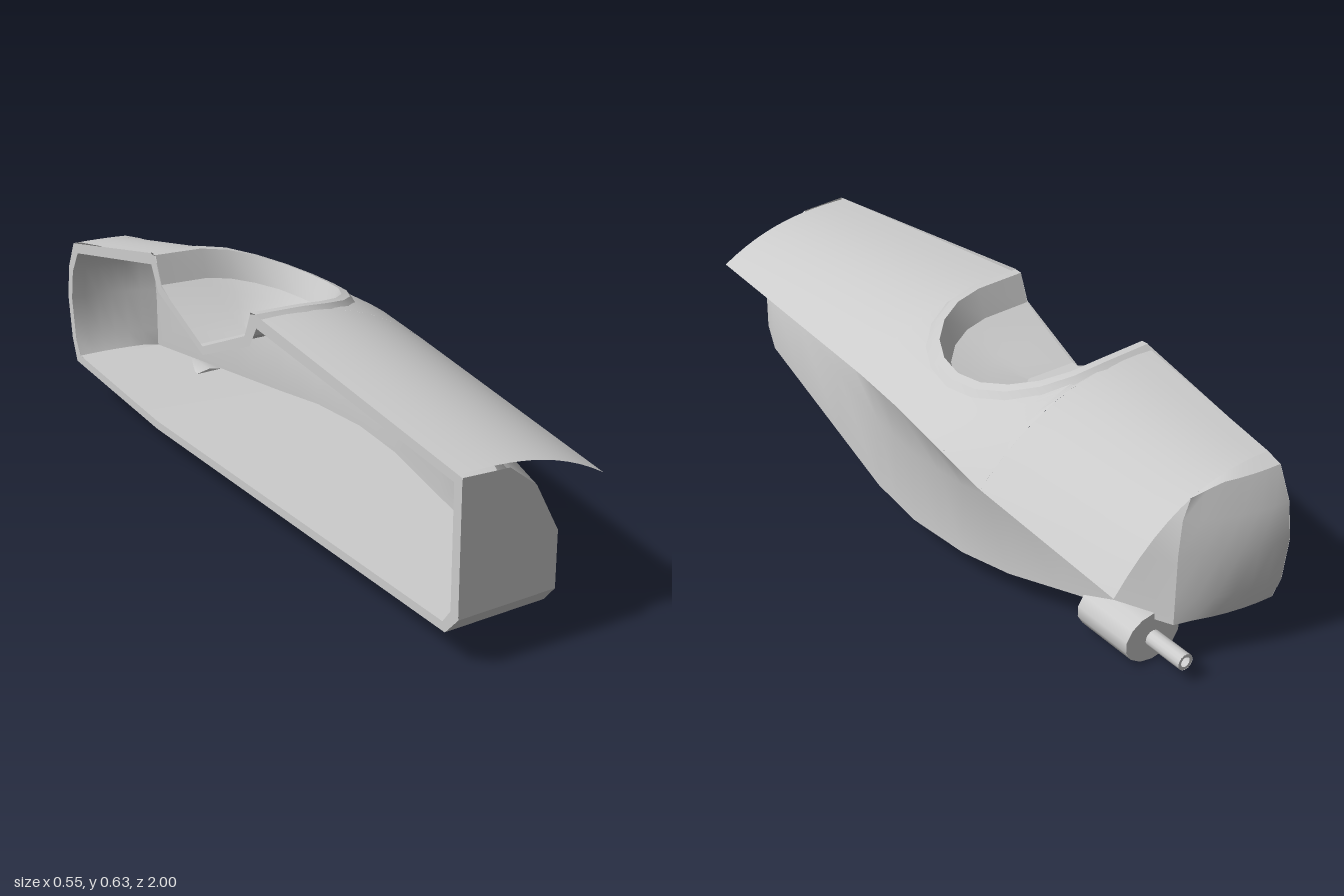
import * as THREE from 'three';
import { toCreasedNormals } from 'three/addons/utils/BufferGeometryUtils.js';

const CUT = -0.275; // plane of the open side

// Hood stations: z, ridge height, edge x, edge y
const HOOD = [
  [1, 0.507, 0.153, 0.405], [0.12, 0.605, 0.24, 0.45], [-0.1, 0.61, 0.265, 0.455],
  [-0.3, 0.616, 0.275, 0.43], [-0.45, 0.616, 0.265, 0.39], [-0.9, 0.53, 0.2, 0.29],
];
// Body stations: z, floor y, wall x, shoulder x, shoulder y, x where it meets the hood
const BODY = [
  [1, 0.145, 0.01, -0.06, 0.435, -0.14], [0.95, 0.09, 0.02, -0.045, 0.435, -0.12],
  [0.1, 0.09, 0.2, 0.225, 0.42, 0.235], [-0.1, 0.09, 0.22, 0.255, 0.43, 0.262],
  [-0.3, 0.09, 0.205, 0.25, 0.4, 0.27], [-0.45, 0.09, 0.165, 0.2, 0.4, 0.22],
  [-0.9, 0.125, 0, -0.005, 0.42, -0.03],
];

function station(table, z) {
  let i = 0;
  while (i < table.length - 2 && z < table[i + 1][0]) i++;
  const a = table[i], b = table[i + 1];
  const k = THREE.MathUtils.clamp((z - a[0]) / (b[0] - a[0]), 0, 1);
  return a.map((v, n) => v + (b[n] - v) * k);
}

function hoodY(x, z) {
  const [, top, ex, ey] = station(HOOD, z);
  const t = Math.max(0, (x - CUT) / (ex - CUT));
  return top - (top - ey) * Math.pow(t, 2.6);
}

// Skin over rows of [x, y, z] points
function loft(rows, crease = 0.6) {
  const n = rows[0].length, index = [];
  for (let i = 0; i < rows.length - 1; i++) {
    for (let j = 0; j < n - 1; j++) {
      const a = i * n + j, c = a + n;
      index.push(a, a + 1, c, a + 1, c + 1, c);
    }
  }
  const g = new THREE.BufferGeometry();
  g.setAttribute('position', new THREE.Float32BufferAttribute(rows.flat(2), 3));
  g.setIndex(index);
  return toCreasedNormals(g, crease);
}

const range = (a, b, n) => Array.from({ length: n + 1 }, (_, i) => a + (b - a) * i / n);

// One hood row from x0 to x1 at z
const hoodRow = (z, x0, x1, drop = 0) => range(x0, x1, 12).map(x => [x, hoodY(x, z) - drop, z]);

// Plan of the cockpit opening: straight ends at the cut, joined by a half round
function opening(r) {
  const arc = range(Math.PI / 2, -Math.PI / 2, 10)
    .map(a => [-0.13 + r * Math.cos(a), -0.17 + r * Math.sin(a)]);
  return [[CUT, -0.17 + r], ...arc, [CUT, -0.17 - r]];
}

// Floor, side wall and shoulder, moved inward by t
function bodyRows(t, zs) {
  return zs.map(z => {
    const [, yb, xw, x3, y3, x4] = station(BODY, z);
    return [[CUT, yb + t, z], [xw - t, yb + t, z], [xw - t, 0.3, z],
      [x3 - t, y3 - t * 0.5, z], [x4 - t, hoodY(x4 - t, z) - t - 0.003, z]];
  });
}

// Rounded tail, moved inward by t
function tailRows(t) {
  const profile = [[-0.9, 0.125 + t], [-0.96 + t, 0.13 + t], [-0.985 + t, 0.2], [-1 + t, 0.33],
    [-0.985 + t, 0.43], [-0.945 + t, 0.515 - t], [-0.9, 0.53 - t]];
  return profile.map(([z, y]) => range(0, 1, 6).map(s => {
    const x = CUT + s * (0.275 - t - 0.03 * Math.max(0, (y - 0.4) / 0.12));
    const zz = z + (-0.9 - z) * s * s;
    return [x, Math.min(y, hoodY(x, zz) - t), zz];
  }));
}

export function createModel() {
  const model = new THREE.Group();
  const both = new THREE.MeshStandardMaterial({ color: 0xcccccc, side: THREE.DoubleSide });
  const front = new THREE.MeshStandardMaterial({ color: 0xcccccc });
  const add = (name, geometry, material = both) => {
    const mesh = new THREE.Mesh(geometry, material);
    mesh.name = name;
    model.add(mesh);
    return mesh;
  };
  const edgeX = z => station(HOOD, z)[2];

  // Hood: nose part, part around the cockpit, and rear part
  add('frontHood', loft(range(0.985, 0.115, 8).map(z => hoodRow(z, CUT, edgeX(z)))));
  add('middleHood', loft(opening(0.285).slice(1, -1).map(([x, z]) => hoodRow(z, x, edgeX(z)))));
  add('rearHood', loft(range(-0.455, -0.9, 6).map(z => hoodRow(z, CUT, edgeX(z)))), front);

  // Hull: outer and inner skins
  const zs = [1, 0.95, 0.7, 0.4, 0.1, 0, -0.1, -0.2, -0.3, -0.375, -0.45, -0.6, -0.75, -0.9];
  add('outerHull', loft(bodyRows(0, zs)));
  add('innerHull', loft(bodyRows(0.025, [0.97, ...zs.slice(1)])));
  add('tail', loft(tailRows(0)));
  add('innerTail', loft(tailRows(0.025)));

  // Ceiling inside the hull, ahead of and behind the cockpit
  for (const [name, a, b] of [['frontCeiling', 0.97, 0.115], ['rearCeiling', -0.455, -0.9]]) {
    add(name, loft(range(a, b, 6).map(z => hoodRow(z, CUT, station(BODY, z)[5] - 0.025, 0.025))));
  }

  // Flat nose plate and the wall behind it
  for (const [name, z, t] of [['nosePlate', 1, 0], ['innerNose', 0.97, 0.025]]) {
    const row = bodyRows(t, [z])[0].map(p => new THREE.Vector2(p[0], p[1]));
    row.push(new THREE.Vector2(CUT, hoodY(CUT, z) - t));
    add(name, new THREE.ShapeGeometry(new THREE.Shape(row))).position.z = z;
  }

  // Cockpit: raised rim, then a tub sinking to a low point
  const ring = (r, dy) => opening(r).map(([x, z]) => [x, hoodY(x, z) + dy, z]);
  const lip = ring(0.225, -0.07);
  const bottom = opening(0.02).map(([x, z]) => [x, 0.437, z]);
  add('cockpitRim', loft([ring(0.297, -0.004), ring(0.278, 0.011), ring(0.255, 0.009), lip], 0.4));
  const tub = range(0, 1, 4).map(k => lip.map((p, i) =>
    p.map((v, n) => v + (bottom[i][n] - v) * (n === 1 ? Math.pow(k, 0.9) : k))));
  add('cockpitTub', loft(tub, 0.9));
  add('tubFloor', loft([bottom.slice(0, 7), bottom.slice(6).reverse()]));

  // Edge of the shell on the open side
  const v2 = list => list.map(([z, y]) => new THREE.Vector2(z, y));
  const edge = new THREE.Shape(v2([[1, 0.145], [0.95, 0.09], [-0.45, 0.09], [-0.96, 0.13],
    [-0.985, 0.2], [-1, 0.33], [-0.985, 0.43], [-0.945, 0.515], [-0.45, 0.624], [-0.425, 0.62],
    [-0.395, 0.54], [-0.17, 0.437], [0.055, 0.54], [0.085, 0.61], [0.11, 0.616], [1, 0.507]]));
  edge.holes.push(new THREE.Path(v2([[0.97, 0.155], [0.94, 0.115], [-0.45, 0.115],
    [-0.935, 0.155], [-0.96, 0.2], [-0.975, 0.33], [-0.96, 0.42], [-0.92, 0.49], [-0.45, 0.591],
    [-0.415, 0.52], [-0.17, 0.412], [0.08, 0.52], [0.115, 0.58], [0.97, 0.485]])));
  const shellEdge = add('shellEdge', new THREE.ShapeGeometry(edge));
  shellEdge.rotation.y = -Math.PI / 2;
  shellEdge.position.x = CUT - 0.001;

  // Engine under the tail with its exhaust pipe
  const engine = add('engine', new THREE.CylinderGeometry(0.0875, 0.0875, 0.19, 14), front);
  engine.rotation.x = Math.PI / 2;
  engine.scale.z = 0.8;
  engine.position.set(0.02, 0.07, -0.755);
  const pipe = add('exhaustPipe', new THREE.CylinderGeometry(0.023, 0.023, 0.125, 14, 1, true));
  pipe.rotation.x = Math.PI / 2;
  pipe.position.set(0.02, 0.065, -0.91);
  const bore = add('exhaustBore', new THREE.RingGeometry(0.014, 0.023, 14));
  bore.position.set(0.02, 0.065, -0.972);

  return model;
}
